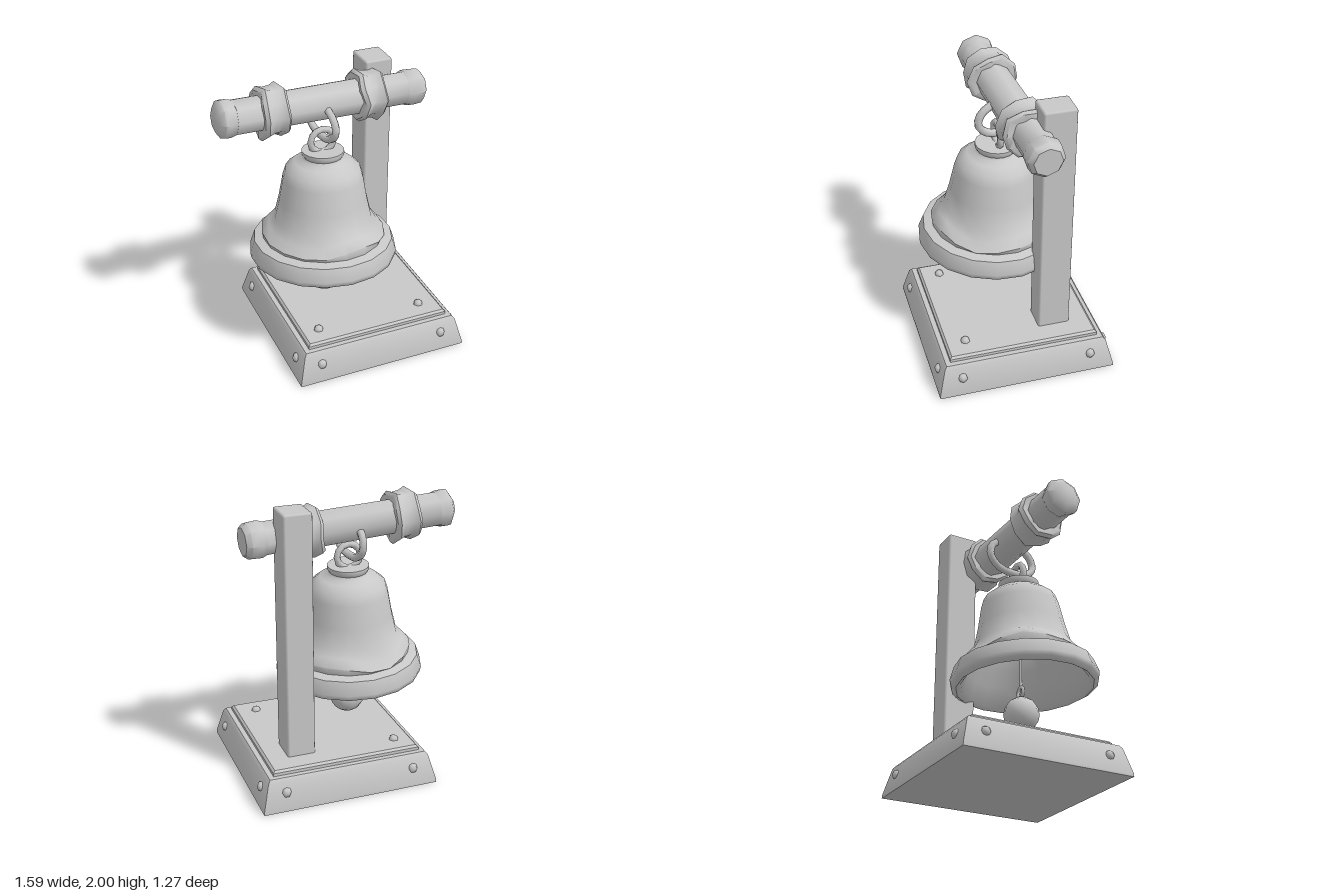
import * as THREE from 'three';
import { toCreasedNormals } from 'three/addons/utils/BufferGeometryUtils.js';
import { RoundedBoxGeometry } from 'three/addons/geometries/RoundedBoxGeometry.js';

export function createModel() {
  const model = new THREE.Group();
  model.name = 'hangingBell';
  const grey = new THREE.MeshStandardMaterial({ color: 0xc8c8c8 });
  grey.name = 'plain grey';

  function add(name, geometry, x = 0, y = 0, z = 0, parent = model) {
    const mesh = new THREE.Mesh(geometry, grey);
    mesh.name = name;
    mesh.position.set(x, y, z);
    parent.add(mesh);
    return mesh;
  }

  // Turned solid from [radius, height] pairs; warp(vertex, angle) bends it.
  function turned(profile, sides, crease, warp) {
    const g = new THREE.LatheGeometry(profile.map(([r, y]) => new THREE.Vector2(r, y)), sides);
    if (warp) {
      const p = g.attributes.position;
      const v = new THREE.Vector3();
      for (let i = 0; i < p.count; i++) {
        v.fromBufferAttribute(p, i);
        warp(v, Math.atan2(v.x, v.z));
        p.setXYZ(i, v.x, v.y, v.z);
      }
      g.computeVertexNormals();
    }
    return toCreasedNormals(g, crease);
  }

  // Square stack from [half width, height] pairs
  function squareStack(profile) {
    const g = turned(profile.map(([h, y]) => [h * Math.SQRT2, y]), 4, 0.5);
    return g.rotateY(Math.PI / 4);
  }

  // Base with a stepped top
  const baseX = 0.155;
  add('base', squareStack([[0, 0], [0.635, 0], [0.635, 0.02], [0.587, 0.205], [0.57, 0.228], [0, 0.228]]), baseX);
  add('baseTop', squareStack([[0.535, 0.22], [0.535, 0.25], [0.52, 0.265], [0, 0.265]]), baseX);

  // Rivets on the four sides and the top
  const rivet = new THREE.SphereGeometry(0.036, 6, 4);
  for (let side = 0; side < 4; side++) {
    for (const along of [-0.465, 0.465]) {
      const a = side * Math.PI / 2;
      add('sideRivet', rivet, baseX + Math.sin(a) * 0.6 + Math.cos(a) * along, 0.13,
        Math.cos(a) * 0.6 - Math.sin(a) * along);
    }
  }
  for (const [x, z] of [[0.54, 0.39], [-0.25, 0.39], [-0.25, -0.39]]) add('topRivet', rivet, x, 0.262, z);

  // Upright post
  add('post', new RoundedBoxGeometry(0.2, 1.75, 0.23, 1, 0.015), 0.435, 1.125, -0.265);

  // Crooked beam: local y runs along its length
  const beam = new THREE.Group();
  beam.name = 'beam';
  beam.position.set(-0.025, 1.8, -0.08);
  beam.quaternion.setFromUnitVectors(new THREE.Vector3(0, 1, 0), new THREE.Vector3(1.53, -0.06, -0.08).normalize());
  model.add(beam);
  add('beamCore', turned([[0, -0.65], [0.125, -0.65], [0.13, 0.34], [0.12, 0.36], [0.12, 0.63], [0, 0.63]], 8, 0.9), 0, 0, 0, beam);
  add('rightEndCap', turned([[0, -0.77], [0.085, -0.77], [0.135, -0.735], [0.138, -0.7], [0.118, -0.63], [0, -0.63]], 8, 0.9), 0, 0, 0, beam);
  add('leftEndCap', turned([[0, 0.6], [0.115, 0.61], [0.135, 0.66], [0.13, 0.73], [0.1, 0.765], [0, 0.765]], 8, 0.9), 0, 0, 0, beam);

  // Uneven collars wrapped round the beam
  const collarProfile = [[0.1, -0.085], [0.165, -0.09], [0.185, -0.065], [0.165, -0.02], [0.165, 0.03], [0.185, 0.07], [0.165, 0.09], [0.1, 0.085]];
  [-0.385, 0.335].forEach((y, i) => {
    const collar = turned(collarProfile, 10, 0.9, (v, a) => {
      const k = 1 + 0.045 * Math.sin(3 * a + i * 2 + v.y * 20);
      v.set(v.x * k, v.y + 0.012 * Math.sin(4 * a + i), v.z * k);
    });
    add('collar', collar, 0, y, 0, beam);
  });

  // Hook hanging under the beam, and the loop on the bell's crown
  const hookPath = new THREE.CatmullRomCurve3([
    [-0.03, 1.8, 0.02], [-0.015, 1.74, 0.11], [-0.01, 1.66, 0.135], [-0.025, 1.585, 0.07], [-0.04, 1.565, -0.04],
    [-0.055, 1.585, -0.17], [-0.065, 1.66, -0.24], [-0.065, 1.74, -0.23], [-0.06, 1.8, -0.15],
  ].map((p) => new THREE.Vector3(...p)));
  add('hook', new THREE.TubeGeometry(hookPath, 20, 0.028, 6));
  add('crownLoop', new THREE.TorusGeometry(0.086, 0.025, 6, 12), -0.05, 1.545, -0.01);

  // Hollow bell, slightly tilted, with a dented flare above the lip
  const bell = new THREE.Group();
  bell.name = 'bell';
  bell.position.set(-0.05, 1.45, 0);
  bell.rotation.set(-0.05, 0, -0.025);
  model.add(bell);
  const bellProfile = [
    [0, 1.36], [0.2, 1.34], [0.25, 1.25], [0.28, 1.08], [0.33, 0.93], [0.4, 0.82], [0.45, 0.69],
    [0.485, 0.665], [0.52, 0.685], [0.527, 0.72], [0.495, 0.815], [0.43, 0.83],
    [0.44, 0.865], [0.39, 0.92], [0.345, 0.98], [0.312, 1.12], [0.283, 1.28], [0.262, 1.35], [0.2, 1.4],
    [0.145, 1.415], [0.135, 1.435], [0.148, 1.455], [0.148, 1.48], [0, 1.48],
  ].map(([r, y]) => [r, y - 1.45]);
  add('bellBody', turned(bellProfile, 18, 0.95, (v, a) => {
    const r = Math.hypot(v.x, v.z);
    if (r > 0.38 && r < 0.445 && v.y > -0.61) v.y += 0.022 * Math.sin(3 * a + 1) + 0.01 * Math.sin(5 * a);
  }), 0, 0, 0, bell);

  // Clapper: rod, eyelet and faceted ball
  add('clapperRod', new THREE.CylinderGeometry(0.012, 0.012, 0.72, 6), -0.05, 1.03, 0.015);
  add('clapperEyelet', new THREE.TorusGeometry(0.037, 0.013, 6, 10), -0.05, 0.635, 0.015);
  add('clapperBall', new THREE.SphereGeometry(0.126, 12, 8), -0.05, 0.47, 0.02);

  return model;
}
